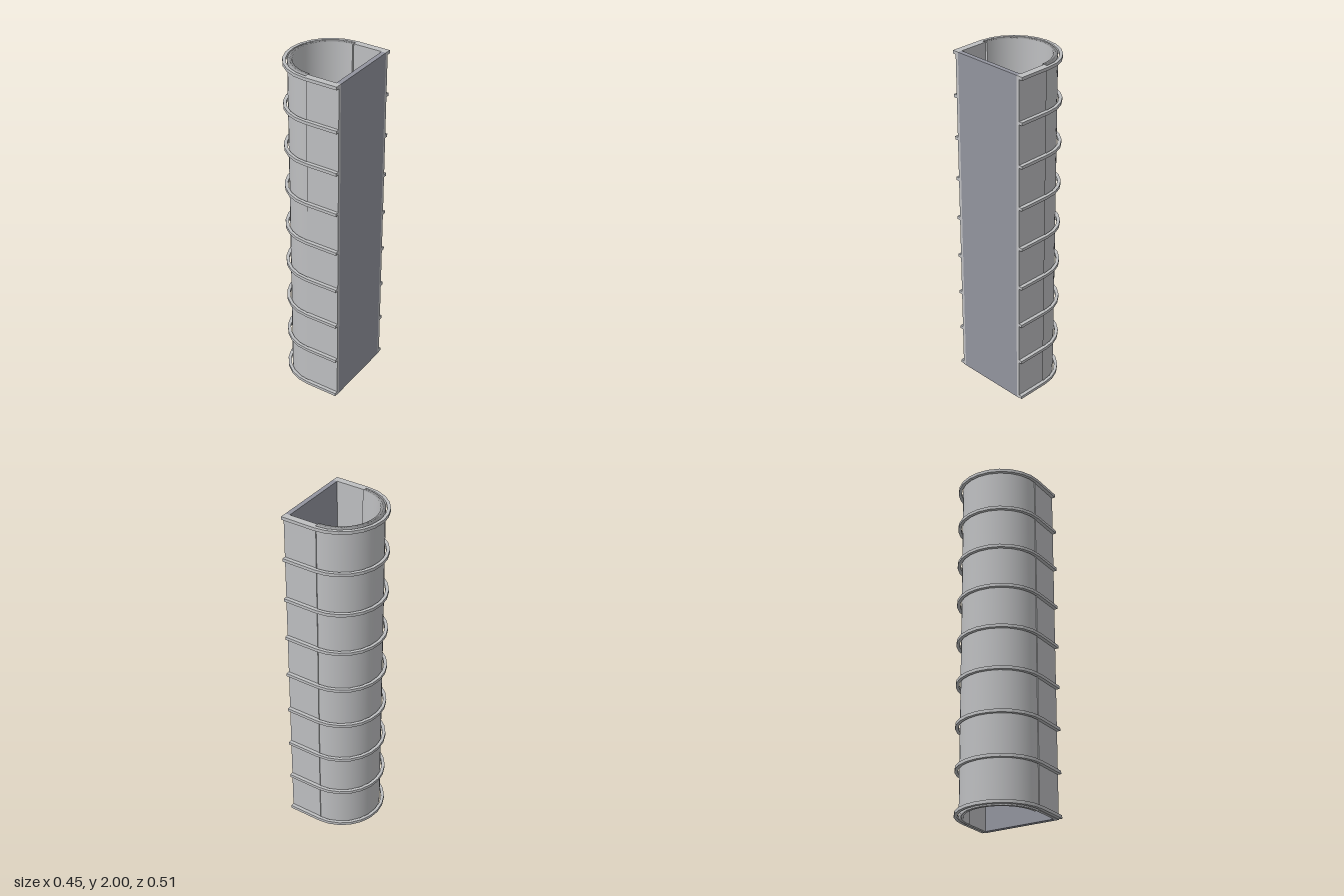
import * as THREE from 'three';

const H = 2;            // column height
const CX = 0.028;       // centre of the curved half
const SHELL_IN = 0.201, SHELL_OUT = 0.227;
const RIB_IN = 0.235, RIB_OUT = 0.253, RIB_H = 0.018;
const BACK = 0.225;     // outer face of the flat panel
const RIBS = 9;

export function createModel() {
  const grey = new THREE.MeshStandardMaterial({ color: 0xbebfc1 });
  grey.name = 'lightGrey';
  const slate = new THREE.MeshStandardMaterial({ color: 0x92949e });
  slate.name = 'slateGrey';

  const model = new THREE.Group();
  model.name = 'halfRoundColumn';

  const add = (name, geometry, material, x, y, z, parent = model) => {
    const mesh = new THREE.Mesh(geometry, material);
    mesh.name = name;
    mesh.position.set(x, y, z);
    parent.add(mesh);
    return mesh;
  };

  // Curved shell: a closed wall profile swept through half a turn, smooth over its rims
  const mid = (SHELL_IN + SHELL_OUT) / 2;
  const profile = [
    [mid, 0], [SHELL_OUT, 0], [SHELL_OUT, H], [SHELL_IN, H], [SHELL_IN, 0], [mid, 0],
  ].map(([r, y]) => new THREE.Vector2(r, y));
  add('curvedShell', new THREE.LatheGeometry(profile, 24, Math.PI, Math.PI), grey, CX, 0, 0);

  // Flat ends of the shell
  const endCap = new THREE.PlaneGeometry(SHELL_OUT - SHELL_IN, H).rotateY(Math.PI / 2);
  for (const s of [1, -1]) add('shellEnd', endCap, grey, CX, H / 2, s * mid);

  // Straight side walls and the flat panel between them
  const length = BACK - CX;
  const wall = new THREE.BoxGeometry(length, H, 0.018);
  for (const s of [1, -1]) add('sideWall', wall, grey, CX + length / 2, H / 2, s * 0.223);
  add('flatPanel', new THREE.BoxGeometry(0.027, H, 0.428), slate, BACK - 0.0135, H / 2, 0);

  // Faceted half hoop, seen in plan
  const arc = (r) => Array.from({ length: 13 }, (_, i) => {
    const a = Math.PI / 2 + (i / 12) * Math.PI;
    return new THREE.Vector2(r * Math.cos(a), r * Math.sin(a));
  });
  const hoopShape = new THREE.Shape([...arc(RIB_OUT), ...arc(RIB_IN).reverse()]);
  const hoop = new THREE.ExtrudeGeometry(hoopShape, { depth: RIB_H, bevelEnabled: false })
    .rotateX(-Math.PI / 2)
    .translate(0, -RIB_H / 2, 0);
  const bar = new THREE.BoxGeometry(length, RIB_H, RIB_OUT - 0.23);

  // Ribs: one hoop and two straight bars at each level
  for (let i = 0; i < RIBS; i++) {
    const rib = new THREE.Group();
    rib.name = 'rib';
    rib.position.y = 0.012 + (i / (RIBS - 1)) * (H - 0.021);
    add('ribHoop', hoop, grey, CX, 0, 0, rib);
    for (const s of [1, -1]) {
      add('ribBar', bar, grey, CX + length / 2, 0, s * (RIB_OUT + 0.23) / 2, rib);
    }
    model.add(rib);
  }
  return model;
}
